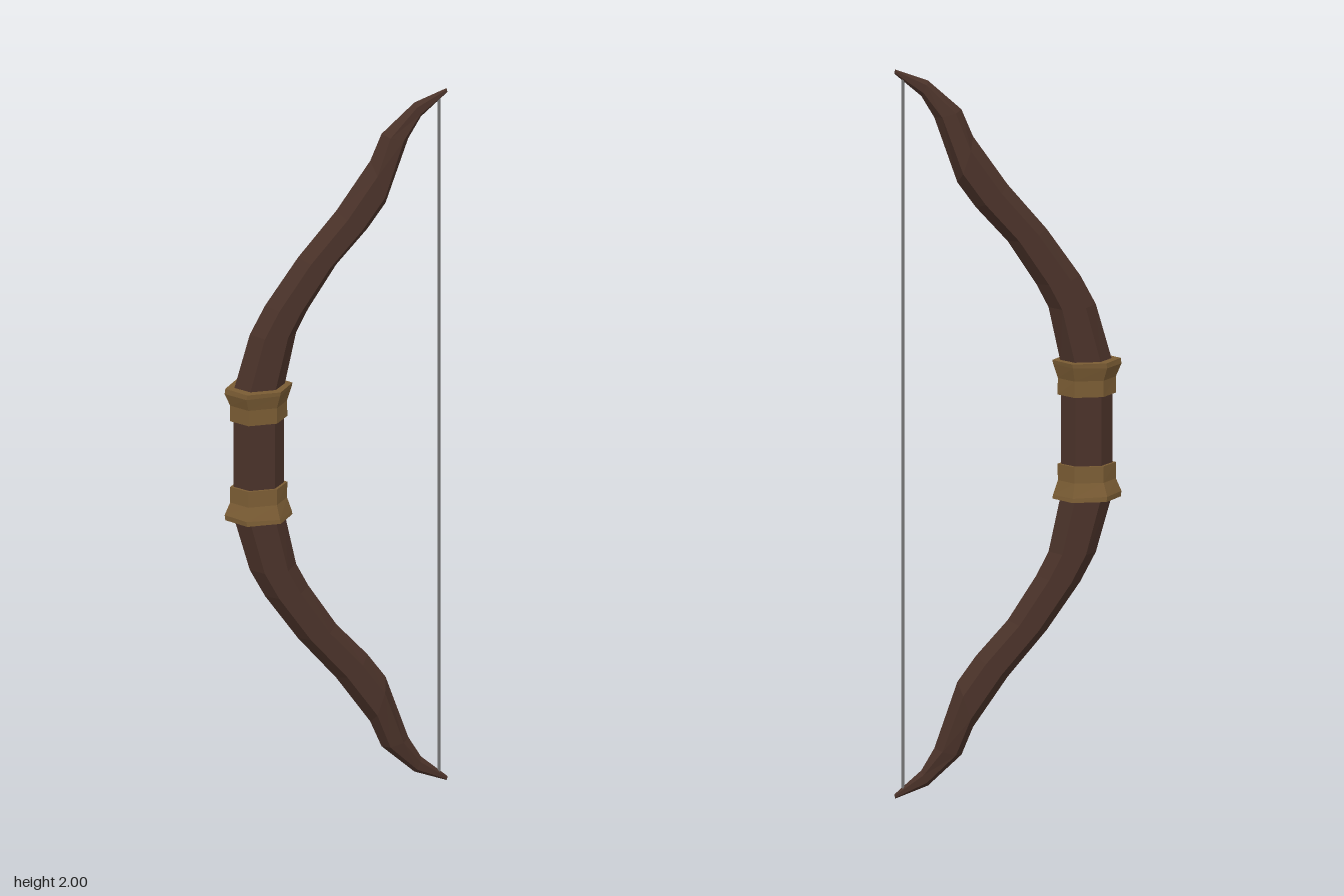
import * as THREE from 'three';

// Hexagonal loft: each section is [outerX, outerY, innerX, innerY, half depth], listed upwards
function hexLoft(sections) {
  const rings = sections.map(([ox, oy, ix, iy, d]) => {
    const at = (t, z) => new THREE.Vector3(ox + (ix - ox) * t, oy + (iy - oy) * t, z);
    return [at(0, 0), at(0.25, d), at(0.75, d), at(1, 0), at(0.75, -d), at(0.25, -d)];
  });
  const points = [];
  for (let i = 0; i < rings.length - 1; i++) {
    const a = rings[i], b = rings[i + 1];
    for (let j = 0; j < 6; j++) {
      const k = (j + 1) % 6;
      points.push(a[j], a[k], b[k], a[j], b[k], b[j]);
    }
  }
  const first = rings[0], last = rings[rings.length - 1];
  for (let j = 1; j < 5; j++) {
    points.push(first[0], first[j + 1], first[j], last[0], last[j], last[j + 1]);
  }
  const geometry = new THREE.BufferGeometry().setFromPoints(points);
  geometry.computeVertexNormals();
  return geometry;
}

// Mirror sections about the grip centre at y = 1, keeping upward order
const flip = (sections) =>
  sections.map(([ox, oy, ix, iy, d]) => [ox, 2 - oy, ix, 2 - iy, d]).reverse();

export function createModel() {
  const group = new THREE.Group();
  const wood = new THREE.MeshStandardMaterial({ color: 0x4a3229, flatShading: true });
  const leather = new THREE.MeshStandardMaterial({ color: 0x7a5c34, flatShading: true });
  const cord = new THREE.MeshStandardMaterial({ color: 0x777777 });

  const add = (name, geometry, material) => {
    const mesh = new THREE.Mesh(geometry, material);
    mesh.name = name;
    group.add(mesh);
    return mesh;
  };

  // Bow stave: grip, curved limbs and recurved tips
  const upper = [
    [-0.282, 1.18, -0.143, 1.18, 0.04],
    [-0.237, 1.34, -0.11, 1.335, 0.04],
    [-0.195, 1.42, -0.077, 1.4, 0.04],
    [-0.105, 1.55, 0.0, 1.52, 0.04],
    [0.0, 1.675, 0.085, 1.615, 0.04],
    [0.093, 1.81, 0.135, 1.685, 0.04],
    [0.124, 1.885, 0.197, 1.865, 0.027],
    [0.214, 1.967, 0.232, 1.925, 0.013],
    [0.302, 2.0, 0.304, 1.988, 0.004],
  ];
  add('bowStave', hexLoft([...flip(upper), ...upper]), wood);

  // Flared wraps at both ends of the grip
  const wrap = [
    [-0.291, 1.095, -0.134, 1.095, 0.046],
    [-0.291, 1.14, -0.135, 1.14, 0.047],
    [-0.306, 1.175, -0.122, 1.18, 0.058],
    [-0.304, 1.19, -0.12, 1.19, 0.059],
  ];
  add('upperGripWrap', hexLoft(wrap), leather);
  add('lowerGripWrap', hexLoft(flip(wrap)), leather);

  // Bowstring between the tips
  const string = add('bowstring', new THREE.CylinderGeometry(0.004, 0.004, 1.96, 6), cord);
  string.position.set(0.281, 1, 0);

  return group;
}
